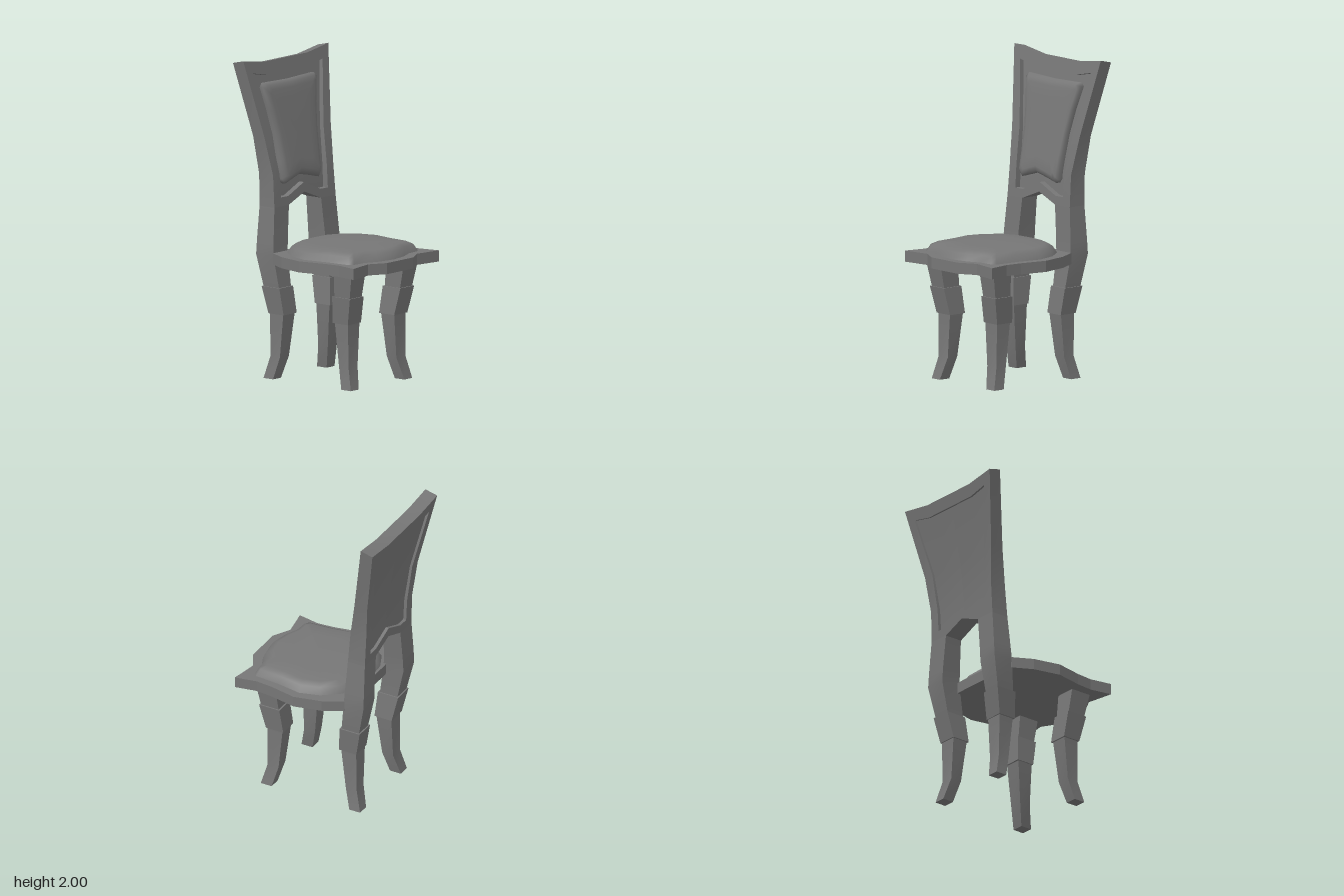
import * as THREE from 'three';
import { toCreasedNormals } from 'three/addons/utils/BufferGeometryUtils.js';

const V = (x, y, z) => new THREE.Vector3(x, y, z);

// Piecewise-linear lookup in rows of [y, back z, front z]
const BACK = [
  [0.78, -0.39, -0.25], [1.08, -0.385, -0.265], [1.28, -0.392, -0.28],
  [1.52, -0.416, -0.325], [2.0, -0.503, -0.42],
];
// Point of the curved chair back: t = 0 on its rear face, 1 on its front face
function onBack(x, y, t) {
  let i = 0;
  while (i < BACK.length - 2 && y > BACK[i + 1][0]) i++;
  const [a, b] = [BACK[i], BACK[i + 1]];
  const k = (y - a[0]) / (b[0] - a[0]);
  const rear = a[1] + (b[1] - a[1]) * k;
  const front = a[2] + (b[2] - a[2]) * k;
  const tilt = 0.02 * Math.max(0, (y - 1.52) / 0.48);
  return V(x, y - tilt * (1 - t), rear + (front - rear) * t);
}

// Bar through four-cornered sections: sharp along its corners, smooth along its length
function sweep(sections, closed = false) {
  const pos = [];
  const quad = (a, b, c, d) => [a, b, c, a, c, d].forEach((p) => pos.push(p.x, p.y, p.z));
  const n = sections.length;
  for (let i = 0; i < (closed ? n : n - 1); i++) {
    const s = sections[i], e = sections[(i + 1) % n];
    for (let k = 0; k < 4; k++) quad(s[k], s[(k + 1) % 4], e[(k + 1) % 4], e[k]);
  }
  if (!closed) {
    quad(...[...sections[0]].reverse());
    quad(...sections[n - 1]);
  }
  const g = new THREE.BufferGeometry();
  g.setAttribute('position', new THREE.Float32BufferAttribute(pos, 3));
  return toCreasedNormals(g, 0.5);
}

// Smooth pad: counter-clockwise outline, layers of [inset, height], mapped into space
function pad(outline, centre, layers, map) {
  const half = [0, 1].map((a) => Math.max(...outline.map((p) => Math.abs(p[a] - centre[a]))));
  const n = outline.length, pos = [], index = [];
  for (const [inset, h] of layers) {
    for (const p of outline) {
      const [u, v] = [0, 1].map((a) => centre[a] + (p[a] - centre[a]) * (1 - inset / half[a]));
      pos.push(...map(u, v, h).toArray());
    }
  }
  const top = layers.length * n;
  pos.push(...map(centre[0], centre[1], layers[layers.length - 1][1]).toArray());
  for (let l = 0; l < layers.length; l++) {
    for (let i = 0; i < n; i++) {
      const a = l * n + i, b = l * n + (i + 1) % n;
      if (l === layers.length - 1) index.push(a, b, top);
      else index.push(a, b, b + n, a, b + n, a + n);
    }
  }
  const g = new THREE.BufferGeometry();
  g.setAttribute('position', new THREE.Float32BufferAttribute(pos, 3));
  g.setIndex(index);
  g.computeVertexNormals();
  return g;
}

// Leg rows [y, x inner, x outer, z inner, z outer] placed in a quadrant
function legGeometry(rows, sx, sz) {
  return sweep(rows.map(([y, xa, xb, za, zb]) => {
    const [x0, x1] = [xa * sx, xb * sx].sort((a, b) => a - b);
    const [z0, z1] = [za * sz, zb * sz].sort((a, b) => a - b);
    return [V(x1, y, z1), V(x0, y, z1), V(x0, y, z0), V(x1, y, z0)];
  }));
}

// Mirror a half outline that runs from one end of the axis to the other
const mirrored = (half) => [
  ...half,
  ...half.filter((p) => p[0] > 0).reverse().map(([x, ...rest]) => [-x, ...rest]),
];

export function createModel() {
  const chair = new THREE.Group();
  chair.name = 'chair';
  const material = new THREE.MeshStandardMaterial({ color: 0x767676 });
  const add = (name, geometry) => {
    const mesh = new THREE.Mesh(geometry, material);
    mesh.name = name;
    chair.add(mesh);
  };

  // Seat board with its scalloped outline, as [x, -z]
  const board = mirrored([
    [0.125, -0.502], [0.235, -0.44], [0.412, -0.471], [0.385, -0.33], [0.395, -0.22],
    [0.43, -0.045], [0.39, 0.13], [0.322, 0.255], [0.16, 0.27],
  ]);
  const seat = new THREE.ExtrudeGeometry(
    new THREE.Shape(board.map(([x, y]) => new THREE.Vector2(x, y))),
    { depth: 0.07, bevelEnabled: false });
  seat.rotateX(-Math.PI / 2).translate(0, 0.73, 0);
  add('seatBoard', seat);

  // Seat cushion
  const cushion = mirrored([
    [0, -0.455], [0.125, -0.432], [0.215, -0.392], [0.305, -0.386], [0.333, -0.365],
    [0.345, -0.2], [0.372, -0.04], [0.335, 0.09], [0.25, 0.2], [0.14, 0.25], [0, 0.257],
  ]);
  add('seatCushion', pad(cushion, [0, -0.1],
    [[0, 0.8], [0.025, 0.842], [0.065, 0.862], [0.18, 0.867]],
    (u, v, h) => V(u, h, -v)));

  // Back frame ring: [outer x, outer y, inner x, inner y], clockwise from the top
  const ring = mirrored([
    [0, 1.97, 0, 1.887], [0.2, 1.97, 0.2, 1.887], [0.41, 2.0, 0.335, 1.915],
    [0.32, 1.52, 0.25, 1.52], [0.29, 1.28, 0.228, 1.28], [0.295, 1.08, 0.225, 1.135],
    [0.155, 1.08, 0.155, 1.135], [0, 1.14, 0, 1.2],
  ]);
  add('backFrame', sweep(ring.map(([ox, oy, ix, iy]) => {
    const inner = ox < 0 ? -ix : ix;
    return [onBack(ox, oy, 1), onBack(inner, iy, 1), onBack(inner, iy, 0), onBack(ox, oy, 0)];
  }), true));

  // Recessed panel, one half each side of the centre line: [x, edge y, centre y]
  const panelRows = [[0.34, 1.925, 1.895], [0.26, 1.52, 1.52], [0.238, 1.28, 1.28], [0.233, 1.122, 1.15]];
  for (const s of [1, -1]) {
    add(s > 0 ? 'leftBackPanel' : 'rightBackPanel', sweep(panelRows.map(([x, ye, yc]) => {
      const [r, l] = s > 0 ? [[x, ye], [0, yc]] : [[0, yc], [-x, ye]];
      return [onBack(...r, 0.68), onBack(...l, 0.68), onBack(...l, 0.18), onBack(...r, 0.18)];
    })));
  }

  // Back cushion, notched at the bottom
  const backPad = [
    [-0.035, 1.255], [0.06, 1.235], [0.15, 1.213], [0.168, 1.235], [0.175, 1.35], [0.192, 1.52],
    [0.22, 1.68], [0.258, 1.82], [0.24, 1.845], [0, 1.838], [-0.24, 1.845], [-0.262, 1.82],
    [-0.232, 1.68], [-0.208, 1.52], [-0.2, 1.35], [-0.2, 1.245], [-0.175, 1.213], [-0.1, 1.235],
  ];
  add('backCushion', pad(backPad, [-0.01, 1.53],
    [[0, 0.66], [0, 0.95], [0.02, 1.12], [0.05, 1.18], [0.12, 1.2]], onBack));

  // Four legs; the rear ones rise past the seat into the back frame
  const upperFront = [[0.74, 0.185, 0.32, 0.237, 0.378], [0.57, 0.185, 0.3, 0.222, 0.345]];
  const upperBack = [
    [1.08, 0.155, 0.295, 0.265, 0.385], [0.87, 0.178, 0.315, 0.255, 0.389],
    [0.78, 0.185, 0.322, 0.25, 0.39], [0.57, 0.185, 0.3, 0.222, 0.345],
  ];
  const collar = [[0.58, 0.177, 0.31, 0.213, 0.356], [0.41, 0.16, 0.287, 0.198, 0.32]];
  const lower = [
    [0.42, 0.167, 0.278, 0.207, 0.314], [0.14, 0.187, 0.274, 0.238, 0.315],
    [0, 0.22, 0.296, 0.275, 0.352],
  ];
  for (const sx of [1, -1]) {
    for (const sz of [1, -1]) {
      const name = (sx > 0 ? 'left' : 'right') + (sz > 0 ? 'Front' : 'Back');
      add(name + (sz > 0 ? 'UpperLeg' : 'Post'), legGeometry(sz > 0 ? upperFront : upperBack, sx, sz));
      add(name + 'LegCollar', legGeometry(collar, sx, sz));
      add(name + 'LowerLeg', legGeometry(lower, sx, sz));
    }
  }
  return chair;
}
